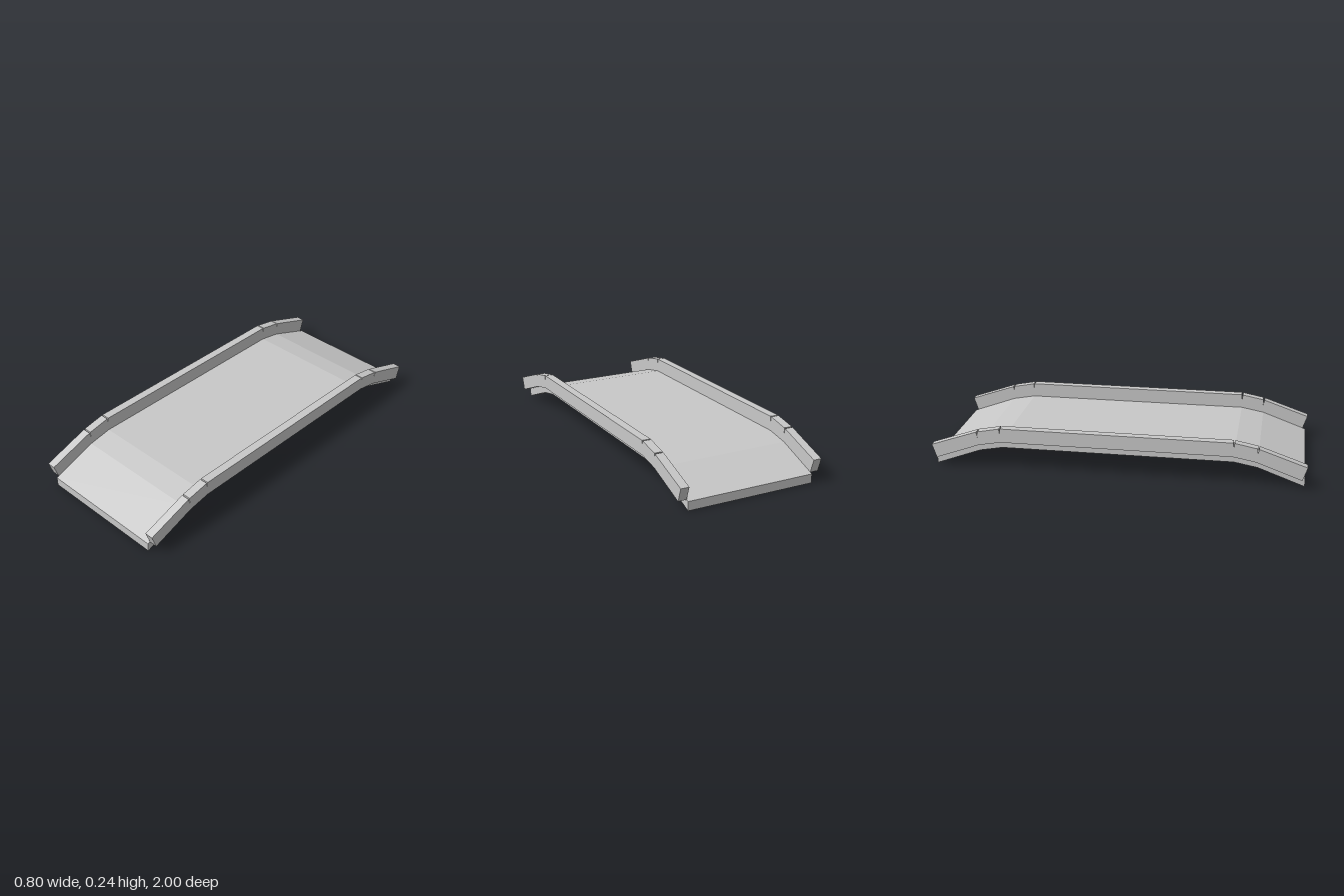
import * as THREE from 'three';

// Mirror a half profile of [z, y] points (front end to middle) to the back end
const mirrored = (half) => [...half, ...half.slice().reverse().map(([z, y]) => [-z, y])];

// Extrude a closed [z, y] profile along x, centred on x = 0
function slab(profile, width) {
  const shape = new THREE.Shape(profile.map(([z, y]) => new THREE.Vector2(z, y)));
  const geometry = new THREE.ExtrudeGeometry(shape, { depth: width, bevelEnabled: false });
  return geometry.translate(0, 0, -width / 2).rotateY(-Math.PI / 2);
}

export function createModel() {
  const group = new THREE.Group();
  const grey = new THREE.MeshStandardMaterial({ color: 0xc8c8c8 });
  grey.name = 'concreteGrey';

  // Deck: flat middle with two ramped segments at each end
  const deckTop = [[0.99, 0.048], [0.745, 0.137], [0.62, 0.16]];
  const deckBottom = [[0.99, 0], [0.745, 0.09], [0.62, 0.113]];
  const deck = new THREE.Mesh(slab([...mirrored(deckTop), ...mirrored(deckBottom).reverse()], 0.71), grey);
  deck.name = 'deck';
  group.add(deck);

  // Side walls: follow the deck, square-cut ends, thin slits at the bends
  const wallTop = [
    [1, 0.125],
    [0.75, 0.211], [0.743, 0.182], [0.743, 0.213],
    [0.624, 0.236], [0.62, 0.207], [0.617, 0.237],
  ];
  const wallBottom = [[0.976, 0.052], [0.738, 0.138], [0.618, 0.16]];
  const wallGeometry = slab([...mirrored(wallTop), ...mirrored(wallBottom).reverse()], 0.046);
  for (const [name, side] of [['leftWall', 1], ['rightWall', -1]]) {
    const wall = new THREE.Mesh(wallGeometry, grey);
    wall.name = name;
    wall.position.x = side * 0.378;
    group.add(wall);
  }
  return group;
}
